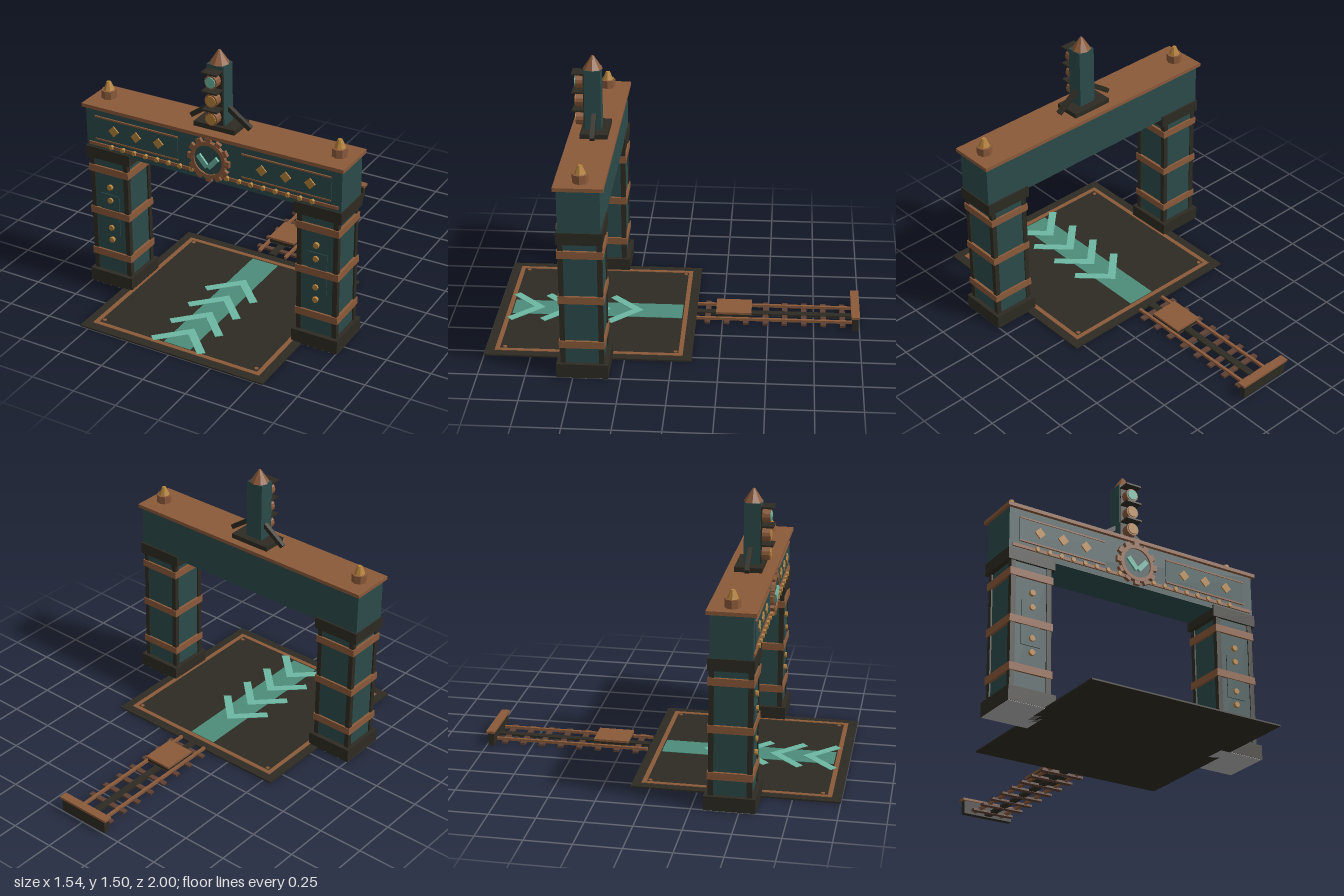
import * as THREE from 'three';

const mat = (name, color) => {
  const m = new THREE.MeshStandardMaterial({ color, flatShading: true });
  m.name = name;
  return m;
};

export function createModel() {
  const teal = mat('dark teal', 0x2c4a4a), copper = mat('copper', 0x8b5a3a), dark = mat('dark iron', 0x2d2b22);
  const gold = mat('brass', 0xb5823a), mint = mat('pale mint', 0x6cb8a2), lane = mat('lane green', 0x4d8c7a);
  const brown = mat('sleeper brown', 0x5e4032), grey = mat('pale grey', 0xb8b8b8);
  const model = new THREE.Group();
  model.name = 'gateway';

  const add = (parent, name, geo, m, x = 0, y = 0, z = 0) => {
    const mesh = new THREE.Mesh(geo, m);
    mesh.name = name;
    mesh.position.set(x, y, z);
    parent.add(mesh);
    return mesh;
  };
  // box from its limits on each axis
  const box = (parent, name, m, x0, x1, y0, y1, z0, z1) =>
    add(parent, name, new THREE.BoxGeometry(x1 - x0, y1 - y0, z1 - z0), m, (x0 + x1) / 2, (y0 + y1) / 2, (z0 + z1) / 2);
  // disc or drum whose axis points to the front
  const drum = (parent, name, m, r, depth, sides, x, y, z) =>
    add(parent, name, new THREE.CylinderGeometry(r, r, depth, sides).rotateX(Math.PI / 2), m, x, y, z);
  const group = (name, parent = model) => {
    const g = new THREE.Group();
    g.name = name;
    parent.add(g);
    return g;
  };

  // floor slab with copper border, corner rivets, lane and chevrons
  const floor = group('floor');
  box(floor, 'slab', dark, -0.55, 0.55, 0, 0.008, -0.105, 1);
  for (const s of [-1, 1]) {
    box(floor, 'sideBorder', copper, s * 0.49 - 0.012, s * 0.49 + 0.012, 0.008, 0.011, -0.055, 0.95);
    const z = s > 0 ? 0.938 : -0.043;
    box(floor, 'endBorder', copper, -0.478, 0.478, 0.008, 0.011, z - 0.012, z + 0.012);
    for (const rz of [-0.015, 0.9]) add(floor, 'floorRivet', new THREE.CylinderGeometry(0.011, 0.011, 0.004, 8), copper, s * 0.46, 0.01, rz);
  }
  box(floor, 'lane', lane, -0.08, 0.08, 0.008, 0.01, -0.025, 0.92);
  const chevron = new THREE.Shape([[0, 0], [0.165, -0.165], [0.133, -0.195], [0, -0.062], [-0.133, -0.195], [-0.165, -0.165]]
    .map(([x, y]) => new THREE.Vector2(x, y)));
  const chevronGeo = new THREE.ExtrudeGeometry(chevron, { depth: 0.003, bevelEnabled: false }).rotateX(-Math.PI / 2);
  for (const z of [0.2, 0.383, 0.567, 0.75]) add(floor, 'chevron', chevronGeo, mint, 0, 0.01, z - 0.005);

  // pillars
  for (const s of [-1, 1]) {
    const p = group(s > 0 ? 'leftPillar' : 'rightPillar');
    p.position.set(s * 0.624, 0, 0.45);
    box(p, 'footUnderside', grey, -0.13, 0.13, 0, 0.002, -0.133, 0.133);
    box(p, 'foot', dark, -0.133, 0.133, 0.002, 0.08, -0.135, 0.135);
    box(p, 'shaft', teal, -0.108, 0.108, 0.08, 0.765, -0.108, 0.108);
    for (const px of [-1, 1]) for (const pz of [-1, 1])
      add(p, 'cornerPost', new THREE.BoxGeometry(0.027, 0.685, 0.027), dark, px * 0.103, 0.4225, pz * 0.1);
    for (const y of [0.19, 0.446, 0.702]) box(p, 'band', copper, -0.123, 0.123, y - 0.02, y + 0.02, -0.119, 0.119);
    box(p, 'capital', dark, -0.135, 0.135, 0.765, 0.83, -0.119, 0.12);
    box(p, 'frontPlate', teal, -0.055, 0.055, 0.32, 0.56, 0.108, 0.113);
    for (const y of [0.285, 0.36, 0.528, 0.607]) drum(p, 'rivet', gold, 0.016, 0.016, 8, s * -0.005, y, 0.116);
  }

  // beam with panels, diamonds and studs
  const beam = group('beam');
  box(beam, 'beamBody', teal, -0.753, 0.753, 0.812, 1.062, 0.341, 0.56);
  box(beam, 'beamCap', copper, -0.768, 0.768, 1.06, 1.08, 0.322, 0.578);
  box(beam, 'lowerTrim', copper, -0.735, 0.735, 0.843, 0.861, 0.56, 0.568);
  for (let i = 0; i < 18; i++) drum(beam, 'stud', gold, 0.013, 0.018, 6, -0.595 + 0.07 * i, 0.855, 0.568);
  for (const s of [-1, 1]) {
    const c = s * 0.442;
    box(beam, 'panel', teal, c - 0.253, c + 0.253, 0.885, 1.015, 0.56, 0.564);
    for (const y of [0.885, 1.015]) box(beam, 'panelTrim', copper, c - 0.253, c + 0.253, y - 0.004, y + 0.004, 0.56, 0.568);
    for (const i of [-1, 0, 1]) drum(beam, 'diamond', gold, 0.031, 0.008, 4, c + i * 0.137, 0.952, 0.567);
    // end finials
    const f = group('finial', beam);
    f.position.set(s * 0.68, 1.08, 0.445);
    add(f, 'finialBase', new THREE.CylinderGeometry(0.042, 0.042, 0.045, 8), copper, 0, 0.0225, 0);
    add(f, 'finialTip', new THREE.CylinderGeometry(0.012, 0.031, 0.046, 8), gold, 0, 0.067, 0);
  }

  // gear emblem
  const gear = group('gear', beam);
  gear.position.set(0, 0.938, 0.56);
  const ring = new THREE.Shape().absarc(0, 0, 0.103, 0, Math.PI * 2);
  ring.holes.push(new THREE.Path().absarc(0, 0, 0.083, 0, Math.PI * 2, true));
  add(gear, 'gearRing', new THREE.ExtrudeGeometry(ring, { depth: 0.022, bevelEnabled: false, curveSegments: 12 }), copper);
  drum(gear, 'gearDisc', teal, 0.085, 0.014, 24, 0, 0, 0.007);
  for (let i = 0; i < 12; i++) {
    const a = i * Math.PI / 6;
    add(gear, 'tooth', new THREE.BoxGeometry(0.032, 0.03, 0.02), copper, Math.sin(a) * 0.108, Math.cos(a) * 0.108, 0.01).rotation.z = -a;
  }
  for (const s of [-1, 1])
    add(gear, 'emblemBar', new THREE.BoxGeometry(0.027, 0.08, 0.014), mint, s * 0.03, -0.01, 0.02).rotation.z = -s * 0.72;

  // signal tower
  const tower = group('signalTower');
  box(tower, 'towerBase', dark, -0.12, 0.12, 1.08, 1.106, 0.367, 0.515);
  box(tower, 'towerBody', teal, -0.05, 0.05, 1.106, 1.435, 0.407, 0.495);
  add(tower, 'spire', new THREE.CylinderGeometry(0.007, 0.053, 0.07, 8), copper, 0, 1.47, 0.45);
  for (const s of [-1, 1])
    add(tower, 'strut', new THREE.BoxGeometry(0.025, 0.155, 0.025), dark, s * 0.11, 1.145, 0.443).rotation.z = s * 0.95;
  [1.155, 1.257, 1.36].forEach((y, i) => {
    box(tower, 'lampBacking', dark, -0.045, 0.045, y - 0.046, y + 0.046, 0.495, 0.5);
    drum(tower, 'lampHousing', copper, 0.037, 0.045, 12, 0, y, 0.52);
    drum(tower, 'lens', i === 2 ? mint : gold, 0.029, 0.01, 12, 0, y, 0.543);
    box(tower, 'visor', dark, -0.045, 0.045, y + 0.047, y + 0.056, 0.49, 0.562);
  });

  // rail track
  const track = group('track');
  for (let i = 0; i < 8; i++) {
    const z = -0.167 - i * 0.106;
    box(track, 'sleeper', brown, -0.125, 0.125, 0.004, 0.016, z - 0.015, z + 0.015);
  }
  for (const s of [-1, 1]) box(track, 'rail', copper, s * 0.083 - 0.008, s * 0.083 + 0.008, 0.01, 0.025, -0.96, -0.105);
  box(track, 'centreRail', dark, -0.02, 0.02, 0.006, 0.019, -0.96, -0.105);
  box(track, 'trolleyBody', dark, -0.075, 0.075, 0.019, 0.042, -0.4, -0.22);
  box(track, 'trolleyDeck', copper, -0.081, 0.081, 0.042, 0.054, -0.408, -0.213);
  box(track, 'buffer', dark, -0.15, 0.15, 0, 0.075, -0.993, -0.96);
  box(track, 'bufferCap', copper, -0.162, 0.162, 0.075, 0.088, -1, -0.953);
  return model;
}
